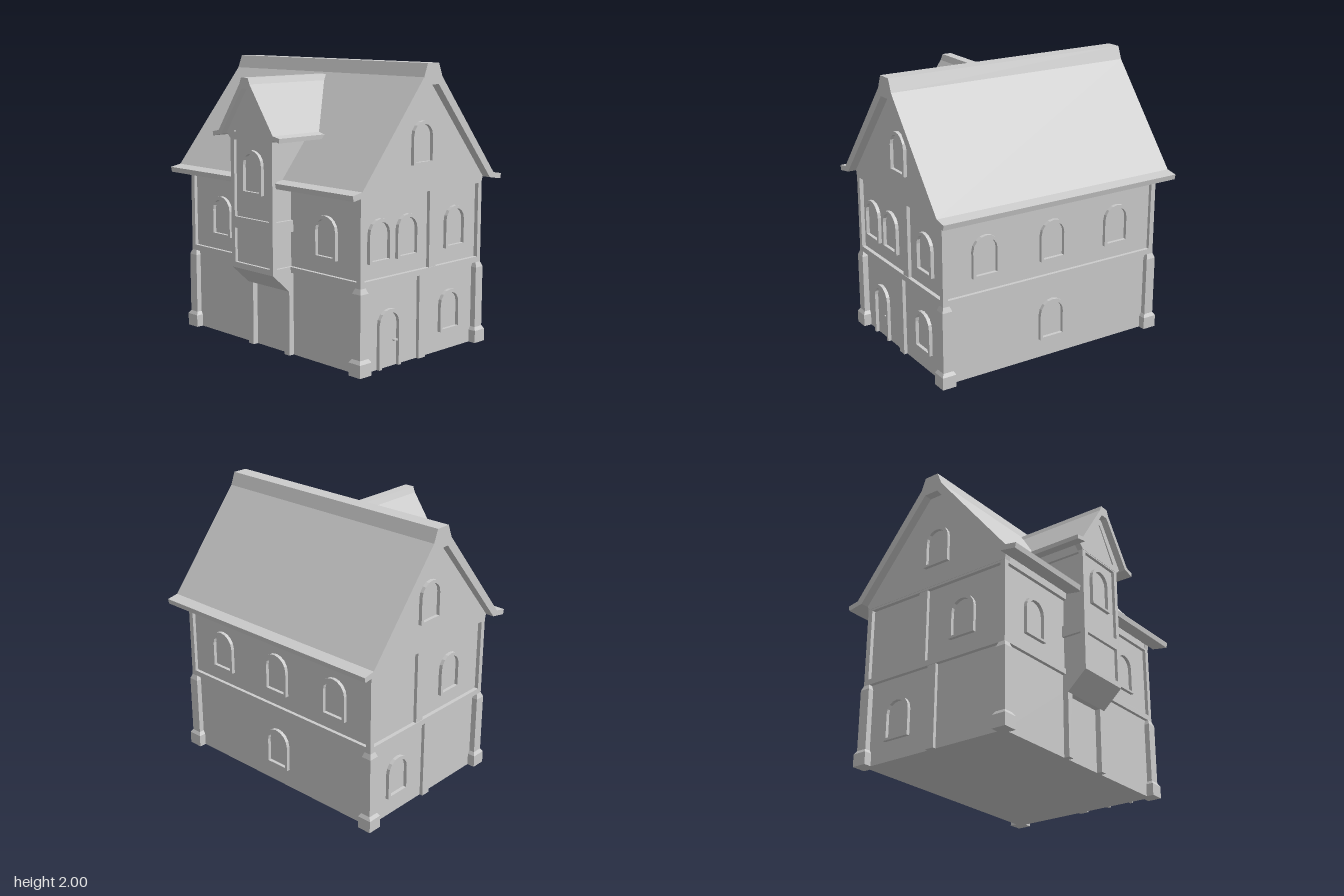
import * as THREE from 'three';

const material = new THREE.MeshStandardMaterial({ color: 0xcccccc, flatShading: true });

function add(parent, name, geometry) {
  const mesh = new THREE.Mesh(geometry, material);
  mesh.name = name;
  parent.add(mesh);
  return mesh;
}

// Box given by its limits
function box(parent, name, x0, x1, y0, y1, z0, z1) {
  const g = new THREE.BoxGeometry(x1 - x0, y1 - y0, z1 - z0);
  g.translate((x0 + x1) / 2, (y0 + y1) / 2, (z0 + z1) / 2);
  return add(parent, name, g);
}

const poly = (pts) => new THREE.Shape(pts.map(([x, y]) => new THREE.Vector2(x, y)));

// Closed outline from its right half, listed top to bottom
const mirrored = (half) => poly([...half, ...half.map(([x, y]) => [-x, y]).reverse()]);

function prism(parent, name, shape, z0, z1) {
  const g = new THREE.ExtrudeGeometry(shape, { depth: z1 - z0, bevelEnabled: false, curveSegments: 8 });
  g.translate(0, 0, z0);
  return add(parent, name, g);
}

function archPoints(half, y0, top, rise) {
  const pts = [[-half, y0], [half, y0]];
  for (let i = 0; i <= 8; i++) {
    const a = (i / 8) * Math.PI;
    pts.push([half * Math.cos(a), top - rise + rise * Math.sin(a)]);
  }
  return pts;
}

// Raised arched frame; an open foot makes a door frame
function archFrame(parent, name, x, y, height, z, openFoot = false) {
  const t = 0.023;
  const outer = archPoints(0.105, y, y + height, 0.1);
  const inner = archPoints(0.105 - t, openFoot ? y : y + t * 0.7, y + height - t, 0.08);
  let shape;
  if (openFoot) {
    shape = poly([...outer.slice(1), outer[0], inner[0], ...inner.slice(2).reverse(), inner[1]]);
  } else {
    shape = poly(outer);
    shape.holes.push(poly(inner));
  }
  const mesh = prism(parent, name, shape, z - 0.01, z + 0.025);
  mesh.position.x = x;
  return mesh;
}

// Group whose local +z points out of one wall
function wallSide(parent, name, angle) {
  const g = new THREE.Group();
  g.name = name;
  g.rotation.y = angle;
  parent.add(g);
  return g;
}

export function createModel() {
  const model = new THREE.Group();
  model.name = 'house';
  const house = new THREE.Group();
  house.name = 'mainHouse';
  house.position.x = 0.035;
  model.add(house);

  const WX = 0.58, WZ = 0.848; // wall planes
  const FX = 0.605, FZ = 0.877; // timber planes

  // Walls and attic in one solid
  prism(house, 'walls', mirrored([[0.045, 1.86], [WX, 1.22], [WX, 0]]), -WZ, WZ);

  // Main roof with ridge cap and flared eaves
  const roof = mirrored([[0.055, 2], [0.09, 1.91], [0.655, 1.22], [0.74, 1.205], [0.733, 1.168],
    [0.615, 1.188], [0.055, 1.86]]);
  prism(house, 'roof', roof, -0.94, 0.94);

  // Corner posts
  const r = Math.SQRT2;
  const postProfile = [[0, 0], [0.0525, 0], [0.0525, 0.088], [0.0375, 0.112], [0.0375, 0.545],
    [0.022, 0.585], [0, 0.585]].map(([h, y]) => new THREE.Vector2(h * r, y));
  for (const sx of [-1, 1]) for (const sz of [-1, 1]) {
    const post = add(house, 'lowerCornerPost', new THREE.LatheGeometry(postProfile, 4, Math.PI / 4));
    post.position.set(sx * 0.581, 0, sz * 0.853);
    const upper = box(house, 'upperCornerPost', -0.0185, 0.0185, 0.58, 1.2, -0.0185, 0.0185);
    upper.position.set(sx * (FX - 0.0185), 0, sz * (FZ - 0.0185));
  }

  // Horizontal timbers around the house
  box(house, 'floorBeam', -FX, FX, 0.58, 0.62, -FZ, FZ);
  box(house, 'eaveBeam', -FX, FX, 1.145, 1.195, -FZ, FZ);

  // Gable walls: rafters, tie beam, posts and attic window
  const rafters = mirrored([[0.055, 1.865], [0.612, 1.195], [0.605, 1.16]]);
  rafters.holes.push(mirrored([[0.032, 1.81], [0.515, 1.23]]));
  const front = wallSide(house, 'frontWall', 0);
  const back = wallSide(house, 'backWall', Math.PI);
  for (const [wall, s] of [[front, 1], [back, -1]]) {
    prism(wall, 'gableRafters', rafters, WZ - 0.02, FZ + 0.002);
    box(wall, 'lowerMiddlePost', -0.034, 0.034, 0, 0.59, WZ - 0.02, FZ - 0.004);
    box(wall, 'upperMiddlePost', s * 0.095 - 0.035, s * 0.095 + 0.035, 0.61, 1.15, WZ - 0.02, FZ - 0.004);
    archFrame(wall, 'atticWindow', 0, 1.33, 0.29, WZ);
  }
  for (const x of [-0.41, -0.145, 0.34]) archFrame(front, 'upperWindow', x, 0.725, 0.29, WZ);
  archFrame(front, 'lowerWindow', 0.295, 0.14, 0.29, WZ);
  archFrame(front, 'doorFrame', -0.315, 0, 0.4, WZ, true);
  box(front, 'doorHandle', -0.27, -0.235, 0.17, 0.18, WZ - 0.01, WZ + 0.02);
  archFrame(back, 'upperWindow', 0.24, 0.725, 0.29, WZ);
  archFrame(back, 'lowerWindow', -0.3, 0.14, 0.29, WZ);

  // Long side windows
  const left = wallSide(house, 'leftWall', Math.PI / 2);
  const right = wallSide(house, 'rightWall', -Math.PI / 2);
  for (const z of [-0.54, 0, 0.54]) archFrame(left, 'upperWindow', z, 0.725, 0.29, WX);
  archFrame(left, 'lowerWindow', 0, 0.14, 0.29, WX);
  for (const z of [-0.54, 0.54]) archFrame(right, 'upperWindow', z, 0.725, 0.29, WX);

  // Projecting bay with its own gabled roof, local z runs outward
  const bay = wallSide(house, 'bay', -Math.PI / 2);
  const BW = 0.215, BD = 0.765, inset = 0.022, t = 0.036;
  prism(bay, 'bayWalls', mirrored([[0.025, 1.82], [BW - inset, 1.55], [BW - inset, 0.59]]), 0.3, BD - inset);
  prism(bay, 'bayRoof', mirrored([[0.035, 1.897], [0.052, 1.855], [0.28, 1.53], [0.345, 1.518],
    [0.342, 1.488], [0.255, 1.505], [0.03, 1.825]]), 0.09, 0.815);
  for (const s of [-1, 1]) {
    const c = s * (BW - t / 2);
    box(bay, 'bayCornerPost', c - t / 2, c + t / 2, 0.58, 1.53, BD - t, BD);
    box(bay, 'bayFootPost', s * 0.19 - 0.025, s * 0.19 + 0.025, 0, 0.48, WX - 0.02, 0.62);
  }
  for (const [y0, y1] of [[0.58, 0.62], [0.86, 0.94], [1.47, 1.51]]) {
    box(bay, 'bayBeam', -BW, BW, y0, y1, 0.4, BD);
  }
  const bayRafters = mirrored([[0.03, 1.83], [0.25, 1.515], [0.215, 1.48]]);
  bayRafters.holes.push(mirrored([[0.012, 1.775], [0.175, 1.525]]));
  prism(bay, 'bayRafters', bayRafters, BD - 0.04, BD + 0.002);
  archFrame(bay, 'bayWindow', 0, 1.11, 0.3, BD - inset);

  // Sloped underside of the bay
  const bracket = prism(bay, 'bayBracket', poly([[0.5, 0.45], [0.62, 0.45], [BD, 0.582], [0.5, 0.582]]), -BW, BW);
  bracket.rotation.y = -Math.PI / 2;

  return model;
}
